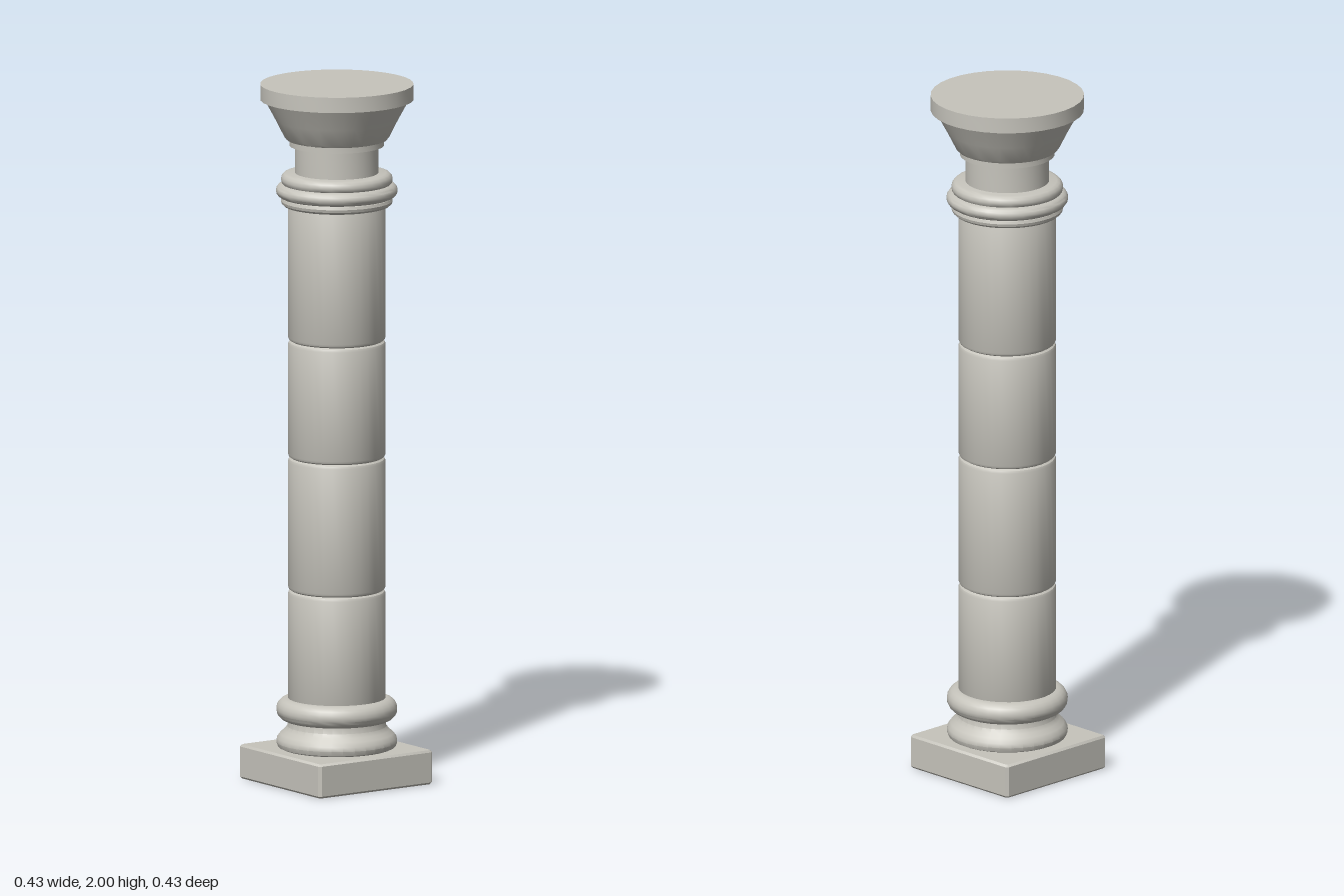
import * as THREE from 'three';
import { toCreasedNormals } from 'three/addons/utils/BufferGeometryUtils.js';

const SIDES = 32;

export function createModel() {
  const column = new THREE.Group();
  column.name = 'column';
  const stone = new THREE.MeshStandardMaterial({ color: 0xc6c4bc });
  stone.name = 'paleStone';

  const add = (name, geometry) => {
    const mesh = new THREE.Mesh(toCreasedNormals(geometry, 0.55), stone);
    mesh.name = name;
    column.add(mesh);
    return mesh;
  };
  // Turned part from [radius, height] pairs, bottom to top, closed at both ends
  const turn = (name, profile) => {
    const pts = [[0, profile[0][1]], ...profile, [0, profile[profile.length - 1][1]]];
    return add(name, new THREE.LatheGeometry(pts.map(([r, y]) => new THREE.Vector2(r, y)), SIDES));
  };
  // Half-round moulding profile bulging out from radius r
  const bulge = (r, depth, y0, y1, steps = 10) =>
    Array.from({ length: steps + 1 }, (_, i) => {
      const a = -Math.PI / 2 + (Math.PI * i) / steps;
      return [r + depth * Math.cos(a), (y0 + y1) / 2 + ((y1 - y0) / 2) * Math.sin(a)];
    });

  // Square plinth with chamfered edges, turned slightly on its axis
  const b = 0.006, h = 0.197 - b, c = 0.004;
  const outline = new THREE.Shape([
    [h, -h + c], [h, h - c], [h - c, h], [-h + c, h],
    [-h, h - c], [-h, -h + c], [-h + c, -h], [h - c, -h],
  ].map(([x, y]) => new THREE.Vector2(x, y)));
  const slab = new THREE.ExtrudeGeometry(outline, {
    depth: 0.098 - 2 * b, bevelEnabled: true, bevelSize: b, bevelThickness: b, bevelSegments: 1,
  });
  slab.rotateX(-Math.PI / 2).translate(0, b, 0);
  const plinth = add('plinth', slab);
  plinth.rotation.y = -0.076;
  plinth.position.x = -0.003;

  // Base mouldings: lower roll, hollow, upper roll
  turn('lowerBaseRoll', [
    [0.155, 0.097], [0.166, 0.102], [0.171, 0.115], [0.169, 0.127], [0.16, 0.139],
    [0.148, 0.149], [0.14, 0.16], [0.138, 0.18],
  ]);
  turn('upperBaseRoll', bulge(0.14, 0.031, 0.177, 0.241));

  // Shaft drums, with eased edges forming the joints
  const joints = [0.23, 0.55, 0.93, 1.265, 1.66];
  for (let i = 0; i < joints.length - 1; i++) {
    const y0 = joints[i], y1 = joints[i + 1], r = 0.138;
    turn('shaftDrum' + (i + 1), [
      [r - 0.009, y0], [r - 0.003, y0 + 0.004], [r, y0 + 0.011],
      [r, y1 - 0.011], [r - 0.003, y1 - 0.004], [r - 0.009, y1],
    ]);
  }

  // Neck ring: a broad roll between two smaller ones
  turn('lowerNeckRoll', bulge(0.14, 0.018, 1.65, 1.682, 6));
  turn('middleNeckRoll', bulge(0.15, 0.022, 1.675, 1.715, 8));
  turn('upperNeckRoll', bulge(0.14, 0.018, 1.708, 1.746, 6));

  // Neck and capital
  turn('neck', [[0.118, 1.74], [0.118, 1.826]]);
  turn('capitalFillet', [[0.134, 1.824], [0.134, 1.842]]);
  turn('capitalBell', [
    [0.134, 1.84], [0.142, 1.842], [0.148, 1.849], [0.172, 1.897], [0.205, 1.958],
  ]);
  turn('abacus', [[0.2165, 1.956], [0.2165, 2]]);

  return column;
}
